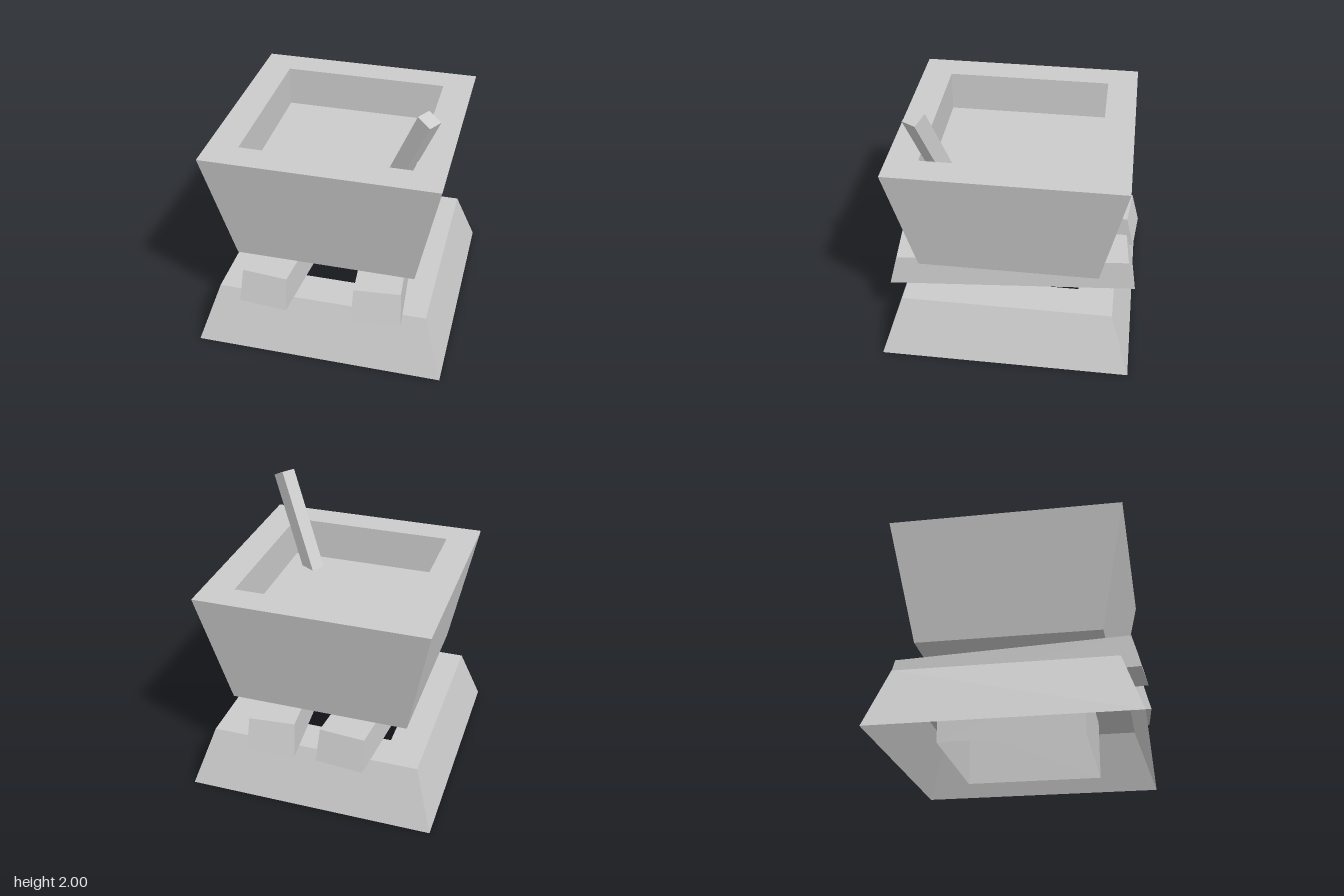
import * as THREE from 'three';

const grey = (side = THREE.FrontSide) =>
  new THREE.MeshStandardMaterial({ color: 0xcccccc, flatShading: true, side });

// Square turned form: profile of [half width, y], running up the outside and down the inside
function squareLathe(name, profile, side) {
  const points = profile.map(([half, y]) => new THREE.Vector2(half * Math.SQRT2, y));
  const geometry = new THREE.LatheGeometry(points, 4, Math.PI / 4);
  const mesh = new THREE.Mesh(geometry, grey(side));
  mesh.name = name;
  return mesh;
}

// Long beam that narrows towards its top
function beam(name, x, yaw) {
  const geometry = new THREE.BoxGeometry(0.36, 0.24, 1.85);
  const p = geometry.attributes.position;
  for (let i = 0; i < p.count; i++) {
    if (p.getY(i) > 0) p.setXYZ(i, p.getX(i) * 0.94, p.getY(i), p.getZ(i) * 0.935);
  }
  const mesh = new THREE.Mesh(geometry, grey());
  mesh.name = name;
  mesh.position.set(x, 0.56, 0);
  mesh.rotation.y = yaw;
  return mesh;
}

export function createModel() {
  const model = new THREE.Group();
  model.name = 'bowlOnStand';

  // Hollow base: sloped walls, flat top and a square shaft, open underneath
  model.add(squareLathe('base',
    [[0.925, 0], [0.78, 0.44], [0.515, 0.44], [0.515, 0]], THREE.DoubleSide));

  // Two beams splayed towards the front
  const yaw = THREE.MathUtils.degToRad(5);
  model.add(beam('rightBeam', -0.32, -yaw), beam('leftBeam', 0.36, yaw));

  // Flared bowl with a straight-walled recess
  model.add(squareLathe('bowl',
    [[0, 0.69], [0.665, 0.69], [0.845, 1.58], [0.62, 1.58], [0.62, 1.27], [0, 1.27]]));

  // Leaning square stick, placed by its tip and sunk into the bowl floor
  const stickGeometry = new THREE.BoxGeometry(0.115, 0.88, 0.115);
  stickGeometry.translate(0, -0.44, 0);
  const stick = new THREE.Mesh(stickGeometry, grey());
  stick.name = 'stick';
  stick.position.set(0.703, 1.976, 0.61);
  stick.rotation.set(0, -Math.PI / 6, THREE.MathUtils.degToRad(-25), 'YXZ');
  model.add(stick);

  return model;
}
